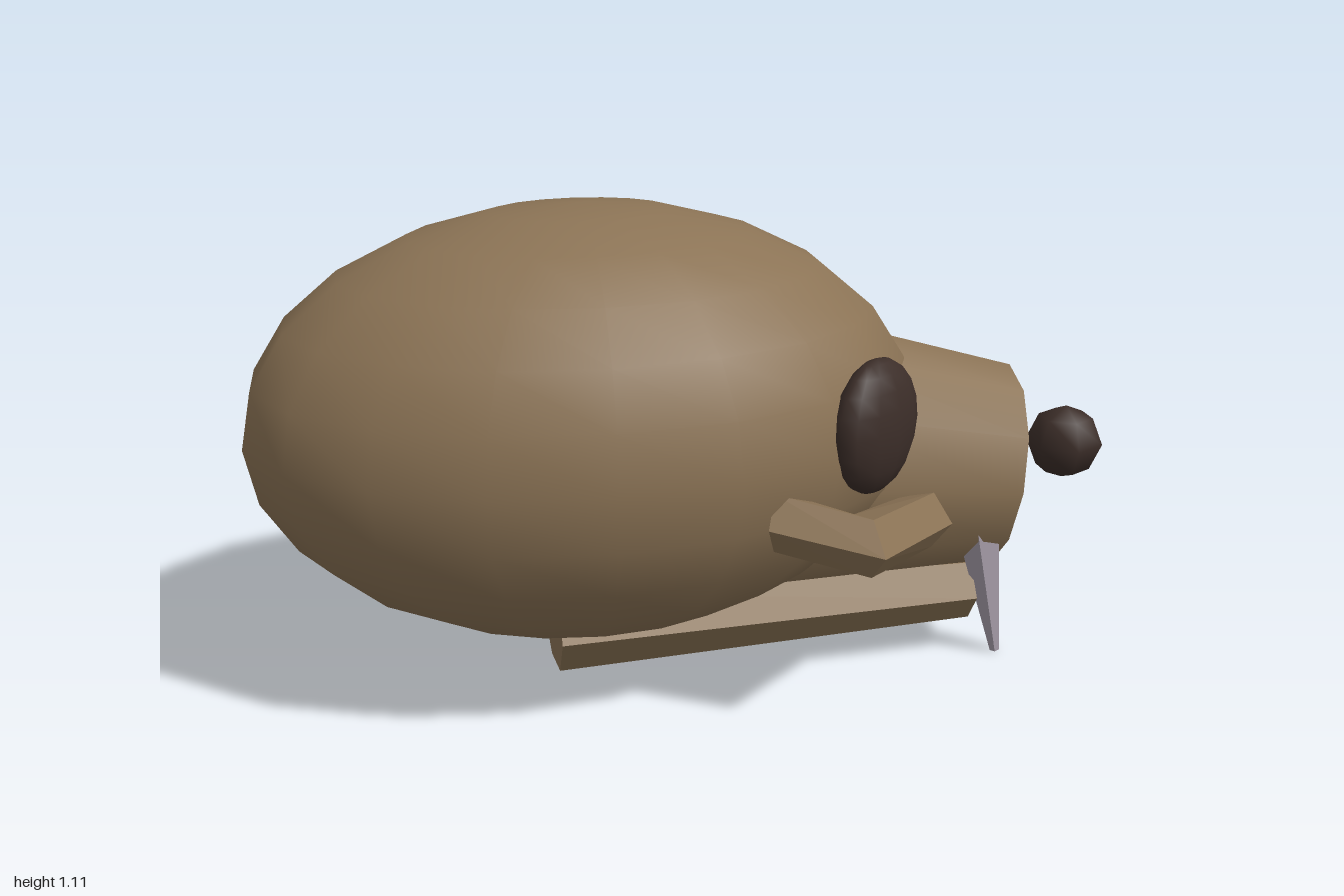
import * as THREE from 'three';

const material = (name, color) => {
  const m = new THREE.MeshStandardMaterial({ color });
  m.name = name;
  return m;
};

// Separate faces with hard edges
function faceted(geo) {
  const g = geo.index ? geo.toNonIndexed() : geo;
  g.computeVertexNormals();
  return g;
}

// Copy reflected across z = 0, with corner order restored
function mirrored(geo) {
  const g = geo.index ? geo.toNonIndexed() : geo.clone();
  g.scale(1, 1, -1);
  for (const key of ['position', 'normal']) {
    const a = g.attributes[key];
    for (let i = 0; i < a.count; i += 3) {
      const p = [a.getX(i + 1), a.getY(i + 1), a.getZ(i + 1)];
      a.setXYZ(i + 1, a.getX(i + 2), a.getY(i + 2), a.getZ(i + 2));
      a.setXYZ(i + 2, ...p);
    }
  }
  // Reflection of the normals is handled by scale(); keep them unit length
  g.normalizeNormals();
  return g;
}

// Five-sided bar following a bent path, mitred at the bend
function bentBar(path, radius) {
  const sides = 5, positions = [], index = [];
  const flatDir = (a, b) => new THREE.Vector3(b.x - a.x, 0, b.z - a.z).normalize();
  path.forEach((p, i) => {
    const before = flatDir(path[Math.max(i - 1, 0)], path[Math.max(i, 1)]);
    const last = path.length - 1;
    const after = flatDir(path[Math.min(i, last - 1)], path[Math.min(i + 1, last)]);
    const along = before.clone().add(after).normalize();
    const outward = new THREE.Vector3(-along.z, 0, along.x);
    const mitre = 1 / along.dot(after);
    for (let k = 0; k < sides; k++) {
      const t = (k / sides) * Math.PI * 2;
      const w = Math.cos(t) * radius * mitre;
      positions.push(p.x + outward.x * w, p.y + Math.sin(t) * radius, p.z + outward.z * w);
    }
  });
  for (let i = 0; i < path.length - 1; i++) {
    for (let k = 0; k < sides; k++) {
      const a = i * sides + k, b = i * sides + (k + 1) % sides;
      index.push(a, a + sides, b, b, a + sides, b + sides);
    }
  }
  const end = (path.length - 1) * sides;
  for (let k = 1; k < sides - 1; k++) {
    index.push(0, k, k + 1, end, end + k + 1, end + k);
  }
  const g = new THREE.BufferGeometry();
  g.setAttribute('position', new THREE.Float32BufferAttribute(positions, 3));
  g.setIndex(index);
  return faceted(g);
}

export function createModel() {
  const group = new THREE.Group();
  const fur = material('brown fur', 0x8b7355);
  const dark = material('dark brown', 0x3c2e29);
  const ivory = material('grey ivory', 0xa9a0ac);

  const add = (name, geo, mat) => {
    const mesh = new THREE.Mesh(geo, mat);
    mesh.name = name;
    group.add(mesh);
  };
  const addPair = (name, geo, mat) => {
    add(name, geo, mat);
    add(name + 'Mirrored', mirrored(geo), mat);
  };

  // Egg-shaped body
  add('body', new THREE.SphereGeometry(1, 18, 12).rotateY(Math.PI / 2)
    .scale(0.76, 0.492, 0.527).translate(-0.25, 0.613, 0), fur);

  // Tapered snout, tilted slightly down
  add('snout', new THREE.CylinderGeometry(0.25, 0.335, 0.55, 12)
    .scale(1, 1, 0.84).rotateZ(-Math.PI / 2 - 0.13).translate(0.462, 0.466, 0), fur);

  // Long lower jaw
  add('jaw', faceted(new THREE.CylinderGeometry(0.1, 0.135, 0.99, 8)
    .rotateZ(-Math.PI / 2).scale(1, 1, 1.78).translate(0.155, 0.16, 0)), fur);

  // Round nose in front of the snout
  add('nose', new THREE.SphereGeometry(0.091, 6, 4).rotateY(Math.PI / 2)
    .translate(0.92, 0.475, 0), dark);

  // Flattened eyes lying on the body surface
  addPair('eye', new THREE.SphereGeometry(1, 12, 10).scale(0.14, 0.15, 0.065)
    .rotateY(0.71).translate(0.335, 0.66, 0.325), dark);

  // Bent arms folded forward
  addPair('arm', bentBar([
    new THREE.Vector3(0.1, 0.495, 0.41),
    new THREE.Vector3(0.27, 0.462, 0.5),
    new THREE.Vector3(0.475, 0.415, 0.27),
  ], 0.068), fur);

  // Tusks with a flat side forward
  addPair('tusk', faceted(new THREE.CylinderGeometry(0.052, 0.012, 0.345, 5)
    .rotateY(Math.PI / 2 + Math.PI / 5).rotateX(0.03).rotateZ(0.2)
    .translate(0.685, 0.171, 0.142)), ivory);

  return group;
}
